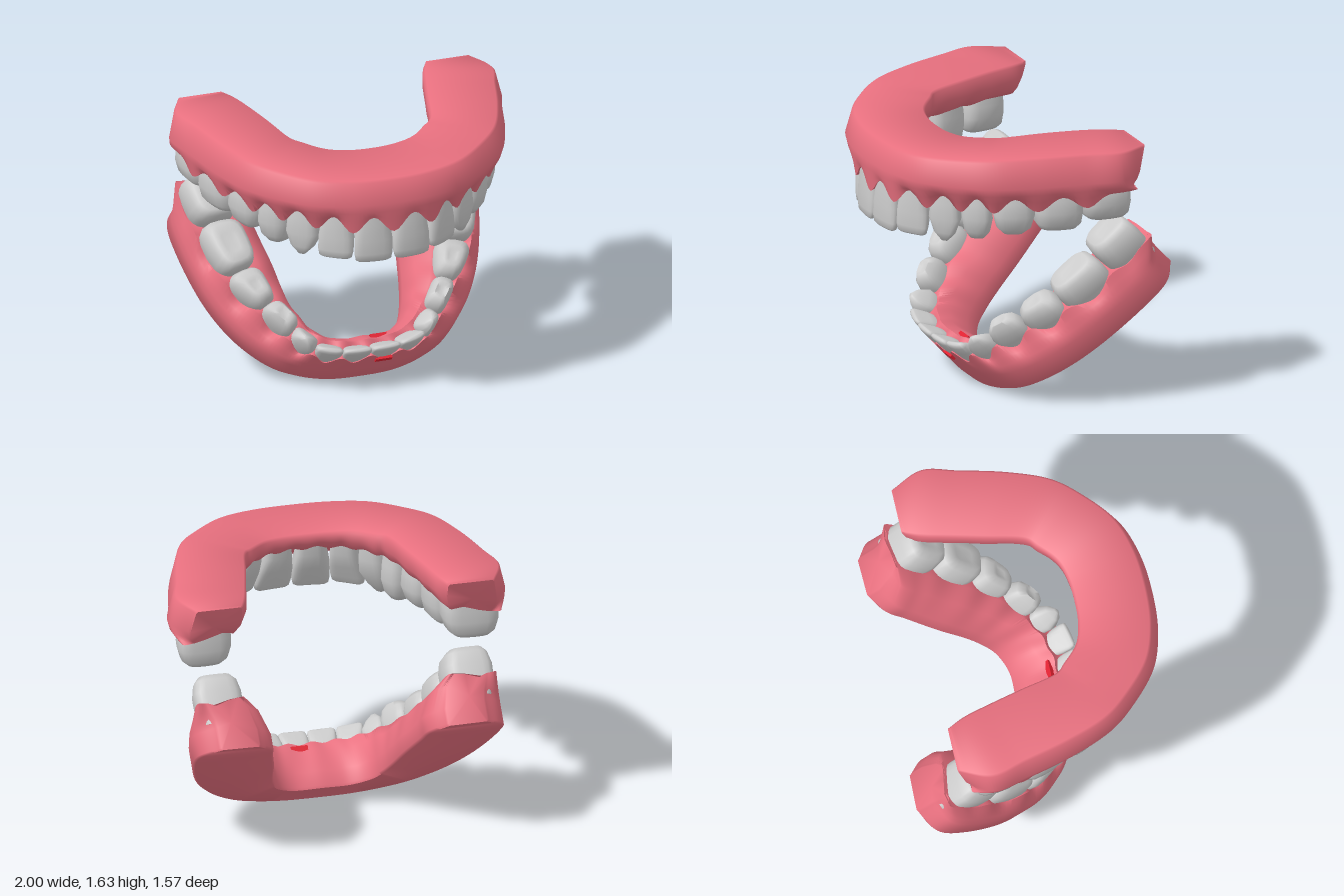
import * as THREE from 'three';
import { toCreasedNormals } from 'three/addons/utils/BufferGeometryUtils.js';

const pink = new THREE.MeshStandardMaterial({ color: 0xe8707f });
const grey = new THREE.MeshStandardMaterial({ color: 0xcccccc });
const red = new THREE.MeshStandardMaterial({ color: 0xe02030 });

// Skin a list of closed rings (Vector3 arrays) and cap both ends
function loft(rings, crease) {
  const n = rings[0].length, pos = [], idx = [];
  rings.forEach(r => r.forEach(p => pos.push(p.x, p.y, p.z)));
  for (let r = 0; r < rings.length - 1; r++)
    for (let j = 0; j < n; j++) {
      const a = r * n + j, b = r * n + (j + 1) % n;
      idx.push(a, b, b + n, a, b + n, a + n);
    }
  [0, rings.length - 1].forEach((r, end) => {
    const c = new THREE.Vector3();
    rings[r].forEach(p => c.addScaledVector(p, 1 / n));
    const k = pos.length / 3;
    pos.push(c.x, c.y, c.z);
    for (let j = 0; j < n; j++) {
      const a = r * n + j, b = r * n + (j + 1) % n;
      if (end) idx.push(a, b, k); else idx.push(b, a, k);
    }
  });
  const g = new THREE.BufferGeometry();
  g.setAttribute('position', new THREE.Float32BufferAttribute(pos, 3));
  g.setIndex(idx);
  return toCreasedNormals(g, crease);
}

// Half outline [x, z], mirrored; t counts teeth from the midline (-8..8)
function archLine(half) {
  const right = half.slice(1).reverse().map(([x, z]) => [-x, z]);
  const curve = new THREE.CatmullRomCurve3(
    [...right, ...half].map(([x, z]) => new THREE.Vector3(x, 0, z)), false, 'catmullrom', 0.5);
  return t => curve.getPoint((t + 8) / 16);
}

const mix = (p, q, k, h) => { const v = p.clone().lerp(q, k); v.y = h; return v; };

// Gum: sweep a ridge section around the arch, scalloped at every tooth
function makeGum(arch, lines) {
  const rings = [], steps = 160;
  for (let s = 0; s <= steps; s++) {
    const t = 8 - 16 * s / steps, at = Math.abs(t);
    const o = lines.outer(t), i = lines.inner(t), to = lines.toothOut(t), ti = lines.toothIn(t);
    const neck = THREE.MathUtils.lerp(arch.neck[0], arch.neck[1], Math.min(at / 7, 1));
    // The scallop levels out behind the last tooth
    const wave = Math.abs(Math.cos(Math.PI * at)) ** 2;
    const scallop = arch.papilla * (1 - 0.04 * at)
      * THREE.MathUtils.lerp(wave, arch.endFill, THREE.MathUtils.smoothstep(at, 6, 6.7));
    const e = neck + scallop, ei = arch.innerNeck + scallop * 0.2;
    const base = -arch.lift * Math.sin(Math.PI * at / 11) ** 2;
    const ring = [
      mix(o, i, arch.inset + 0.03, base),
      mix(o, i, arch.inset, base + 0.012),
      mix(o, i, 0, neck * 0.6),
      mix(o, to, 0.2, neck * 0.82),
      mix(o, to, 0.6, neck * 0.55 + e * 0.38),
      mix(to, ti, 0, e),
      mix(to, ti, 0.3, e - 0.02),
      mix(to, ti, 0.7, ei - 0.01),
      mix(ti, i, 0.05, ei),
      mix(ti, i, 0.6, ei * 0.78),
      mix(ti, i, 0.97, ei * 0.35),
      mix(i, o, 0.01, base + 0.015),
      mix(i, o, 0.04, base),
    ];
    // The end face slopes inward towards the teeth
    ring.forEach(p => { p.z += arch.endLean * Math.max(at - 7, 0) * p.y; });
    rings.push(ring);
  }
  return loft(rings, 1.1);
}

// Tooth levels: [height fraction, half width, outer depth, inner depth]
const shapes = {
  incisor: [[0, .38, .12, .9], [.4, .45, .03, .88], [.65, .5, 0, .66], [.87, .49, .01, .4], [.97, .45, .04, .3], [1, .36, .1, .25]],
  canine: [[0, .38, .12, .9], [.4, .46, 0, .92], [.65, .5, -.02, .8], [.87, .33, .04, .5], [1, .1, .14, .32]],
  premolar: [[0, .4, .12, .9], [.4, .47, 0, .98], [.65, .5, -.02, 1], [.88, .42, .06, .9], [1, .25, .2, .75]],
  molar: [[0, .44, .1, .94], [.4, .49, 0, 1], [.65, .5, -.01, 1], [.89, .47, .05, .94], [1, .38, .15, .83]],
};
const kinds = ['incisor', 'incisor', 'canine', 'premolar', 'premolar', 'molar', 'molar'];

function makeTooth(arch, lines, i) {
  const n = i < 0 ? -i - 1 : i;
  const bottom = THREE.MathUtils.lerp(arch.neck[0], arch.neck[1], n / 6) - arch.root;
  const round = v => Math.sign(v) * Math.abs(v) ** 0.6;
  const rings = shapes[kinds[n]].map(([f, w, b0, b1]) => {
    const ring = [], h = THREE.MathUtils.lerp(bottom, arch.tips[n], f);
    for (let j = 0; j < 20; j++) {
      const q = j / 20 * Math.PI * 2;
      const t = i + 0.5 + w * round(Math.sin(q));
      const b = (b0 + b1) / 2 - (b1 - b0) / 2 * round(Math.cos(q));
      ring.push(mix(lines.toothOut(t), lines.toothIn(t), b, h));
    }
    return ring;
  });
  // Shallow hollow in the chewing surface of the back teeth
  if (n > 2) {
    const top = rings[rings.length - 1];
    const c = top.reduce((s, p) => s.addScaledVector(p, 1 / top.length), new THREE.Vector3());
    rings.push(top.map(p => mix(p, c, 0.5, c.y - 0.008)));
  }
  return loft(rings, 1.3);
}

function makeJaw(name, arch) {
  const jaw = new THREE.Group();
  jaw.name = name + 'Jaw';
  const lines = {};
  for (const key of ['outer', 'inner', 'toothOut', 'toothIn']) lines[key] = archLine(arch[key]);
  const gum = new THREE.Mesh(makeGum(arch, lines), pink);
  gum.name = name + 'Gum';
  const teeth = new THREE.Group();
  teeth.name = name + 'Teeth';
  for (let i = -7; i < 7; i++) {
    const tooth = new THREE.Mesh(makeTooth(arch, lines, i), grey);
    tooth.name = kinds[i < 0 ? -i - 1 : i];
    teeth.add(tooth);
  }
  jaw.add(gum, teeth);
  return jaw;
}

// Heights are measured from the gum base towards the biting edge
const upperArch = {
  outer: [[0, .785], [.24, .765], [.46, .69], [.65, .53], [.785, .36], [.88, .12], [.95, -.15], [1, -.36], [.91, -.555]],
  inner: [[0, .32], [.14, .31], [.26, .27], [.36, .18], [.42, .11], [.47, -.1], [.52, -.3], [.56, -.45], [.61, -.555]],
  toothOut: [[0, .765], [.24, .735], [.43, .62], [.59, .48], [.72, .33], [.83, .1], [.92, -.18], [.95, -.47], [.88, -.545]],
  toothIn: [[0, .6], [.17, .58], [.31, .5], [.42, .38], [.5, .24], [.57, .04], [.62, -.2], [.64, -.46], [.65, -.545]],
  neck: [.23, .21], innerNeck: .17, root: .1, papilla: .1, endFill: 0.1, endLean: .3, lift: .04, inset: .08,
  tips: [.52, .5, .51, .48, .45, .43, .39],
};
const lowerArch = {
  outer: [[0, 0], [.2, -.01], [.38, -.06], [.54, -.15], [.7, -.33], [.82, -.57], [.9, -.88], [.91, -1.1], [.79, -1.22]],
  inner: [[0, -.2], [.16, -.2], [.27, -.27], [.32, -.38], [.35, -.52], [.38, -.72], [.43, -.96], [.46, -1.1], [.56, -1.21]],
  toothOut: [[0, 0], [.18, -.01], [.34, -.06], [.46, -.18], [.6, -.37], [.75, -.6], [.85, -.93], [.89, -1.22], [.83, -1.235]],
  toothIn: [[0, -.11], [.14, -.12], [.27, -.17], [.37, -.27], [.47, -.43], [.53, -.66], [.58, -.95], [.61, -1.22], [.65, -1.235]],
  neck: [.25, .23], innerNeck: .29, root: .06, papilla: .08, endFill: 1, endLean: 0, lift: 0, inset: 0,
  tips: [.4, .4, .42, .425, .415, .425, .465],
};

export function createModel() {
  const model = new THREE.Group();
  model.name = 'openDentures';

  // Upper jaw hangs upside down
  const upper = makeJaw('upper', upperArch);
  upper.rotation.z = Math.PI;
  upper.position.y = 1.59;

  // Lower jaw tilts open, rising towards the back
  const lower = makeJaw('lower', lowerArch);
  lower.rotation.x = 0.738;
  lower.position.set(0, 0, 0.12);

  // Small red strip passing through the front of the lower gum
  const strip = new THREE.Mesh(new THREE.BoxGeometry(0.1, 0.035, 0.16), red);
  strip.name = 'redStrip';
  strip.position.set(0.085, 0.26, -0.07);
  lower.add(strip);

  model.add(upper, lower);
  return model;
}
